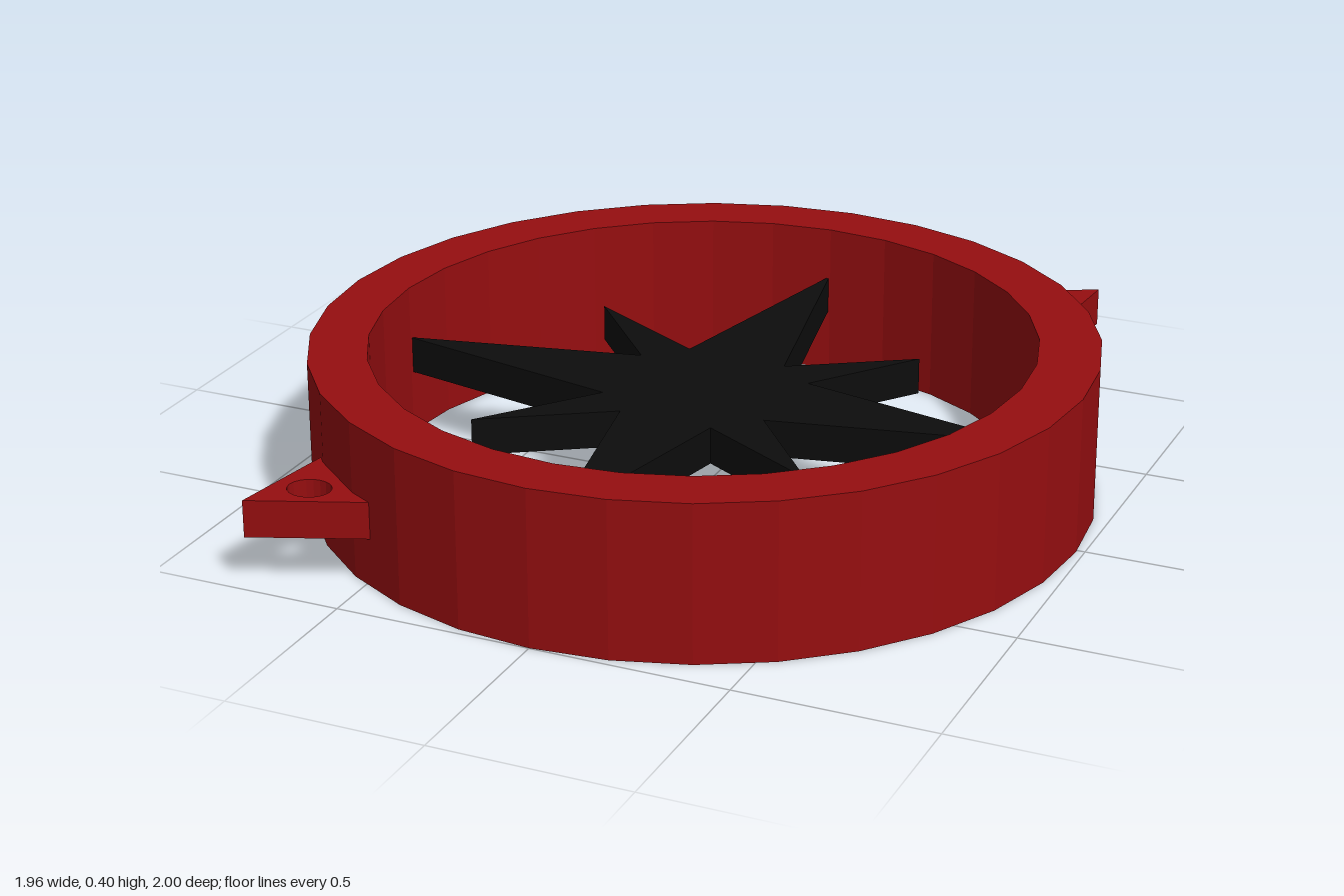
import * as THREE from 'three';

const red = new THREE.MeshStandardMaterial({ color: 0x960e10 });
red.name = 'deep red';
const black = new THREE.MeshStandardMaterial({ color: 0x0d0d0d });
black.name = 'black';

// Outline points are [x, z] pairs seen from above
const toVectors = (points) => points.map(([x, z]) => new THREE.Vector2(x, -z));

// Points of a faceted ellipse
function ellipse(cx, cz, rx, rz, sides) {
  return Array.from({ length: sides }, (_, i) => {
    const a = (i / sides) * Math.PI * 2;
    return [cx + rx * Math.cos(a), cz + rz * Math.sin(a)];
  });
}

// Upright slab with flat top and bottom; the hole runs opposite to the outline so its walls face inward
function slab(name, material, outline, bottom, top, hole) {
  const shape = new THREE.Shape(toVectors(outline));
  if (hole) shape.holes.push(new THREE.Path(toVectors(hole).reverse()));
  const geometry = new THREE.ExtrudeGeometry(shape, { depth: top - bottom, bevelEnabled: false });
  geometry.rotateX(-Math.PI / 2).translate(0, bottom, 0);
  const mesh = new THREE.Mesh(geometry, material);
  mesh.name = name;
  return mesh;
}

export function createModel() {
  const group = new THREE.Group();
  group.name = 'compassRosePendant';

  // Outer band
  group.add(slab('ring', red, ellipse(0, 0.009, 0.98, 0.99, 32), 0, 0.4,
    ellipse(-0.004, 0.009, 0.829, 0.843, 32)));

  // Eight-pointed star: long and short points alternate, with notches between
  group.add(slab('compassStar', black, [
    [-0.012, -0.85], [0.122, -0.21], [0.418, -0.395], [0.22, -0.13],
    [0.825, 0], [0.21, 0.13], [0.434, 0.407], [0.11, 0.225],
    [-0.012, 0.837], [-0.135, 0.22], [-0.445, 0.415], [-0.225, 0.13],
    [-0.84, 0], [-0.24, -0.13], [-0.475, -0.403], [-0.145, -0.22],
  ], 0.165, 0.26));

  // Front tab with a hole, and solid back pointer
  group.add(slab('hangingTab', red, [[-0.712, 0.675], [-0.757, 0.977], [-0.476, 0.865]], 0.125, 0.22,
    ellipse(-0.648, 0.852, 0.055, 0.05, 20)));
  group.add(slab('pointerTab', red, [[0.434, -0.87], [0.7, -1], [0.677, -0.695]], 0.182, 0.28));

  return group;
}
